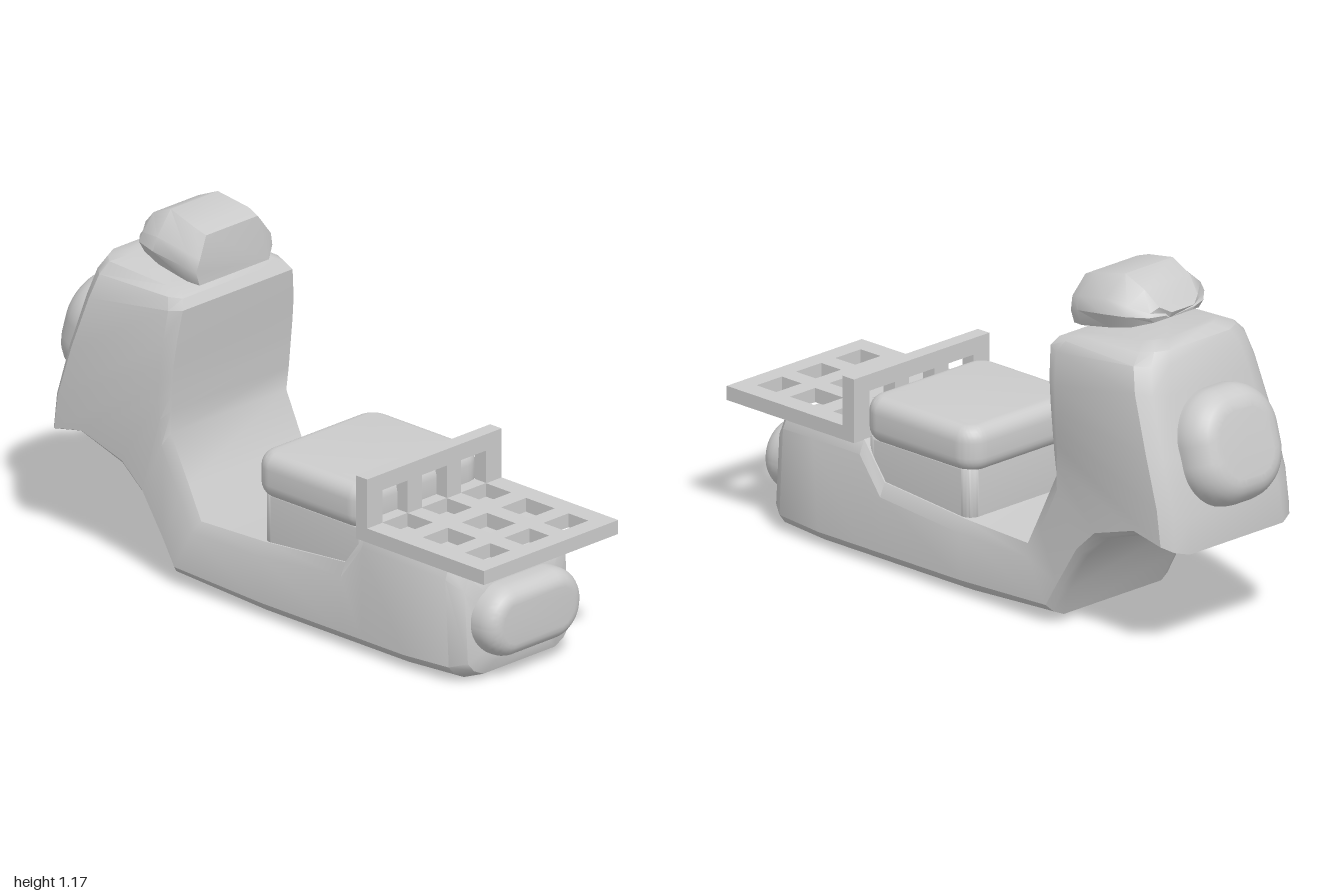
import * as THREE from 'three';
import { toCreasedNormals } from 'three/addons/utils/BufferGeometryUtils.js';

const material = new THREE.MeshStandardMaterial({ color: 0xcccccc });

function addMesh(parent, name, geometry) {
  const mesh = new THREE.Mesh(geometry, material);
  mesh.name = name;
  parent.add(mesh);
  return mesh;
}

// Skin closed rings running towards -z; each ring is counter-clockwise seen from +z
function loft(rings, crease) {
  const n = rings[0].length, last = (rings.length - 1) * n, index = [];
  for (let i = 0; i < rings.length - 1; i++) {
    for (let j = 0; j < n; j++) {
      const a = i * n + j, b = i * n + (j + 1) % n;
      index.push(a, a + n, b, b, a + n, b + n);
    }
  }
  for (let j = 1; j < n - 1; j++) {
    index.push(0, j, j + 1, last, last + j + 1, last + j);
  }
  const g = new THREE.BufferGeometry();
  g.setAttribute('position', new THREE.Float32BufferAttribute(rings.flat(2), 3));
  g.setIndex(index);
  return toCreasedNormals(g, crease);
}

// Complete a right-hand half ring with its mirror image
const mirrorRing = (half) => [...half, ...half.map(([x, y, z]) => [-x, y, z]).reverse()];

function roundedRect(w, h, r) {
  const s = new THREE.Shape(), x = w / 2, y = h / 2;
  s.moveTo(-x + r, -y);
  s.lineTo(x - r, -y).absarc(x - r, -y + r, r, -Math.PI / 2, 0);
  s.lineTo(x, y - r).absarc(x - r, y - r, r, 0, Math.PI / 2);
  s.lineTo(-x + r, y).absarc(-x + r, y - r, r, Math.PI / 2, Math.PI);
  s.lineTo(-x, -y + r).absarc(-x + r, -y + r, r, Math.PI, Math.PI * 1.5);
  return s;
}

// Soft pad, w by h, with rounded rims, d thick along z
function pad(w, h, d, r, bevel, thick) {
  const depth = d - 2 * thick;
  const g = new THREE.ExtrudeGeometry(roundedRect(w - 2 * bevel, h - 2 * bevel, r), {
    depth, bevelSize: bevel, bevelThickness: thick, bevelSegments: 6, curveSegments: 8,
  });
  g.translate(0, 0, -depth / 2);
  return toCreasedNormals(g, 0.7);
}

// Flat panel with three columns of openings, one row for each [from, to]
function grille(y0, y1, rows, depth) {
  const box = (S, x0, x1, a, b) => {
    const p = new S();
    p.moveTo(x0, a).lineTo(x1, a).lineTo(x1, b).lineTo(x0, b).closePath();
    return p;
  };
  const shape = box(THREE.Shape, -0.3, 0.3, y0, y1);
  for (const [a, b] of rows) {
    for (const x of [-0.175, 0, 0.175]) shape.holes.push(box(THREE.Path, x - 0.056, x + 0.056, a, b));
  }
  return new THREE.ExtrudeGeometry(shape, { depth, bevelEnabled: false });
}

export function createModel() {
  const model = new THREE.Group();
  model.name = 'scooterBody';

  // Body stations: inner z, y, outer z, y, half width, outer chamfer
  const stations = [
    [0.865, 0.29, 0.875, 0.06, 0.17, 0.04],
    [0.84, 0.35, 0.86, 0.02, 0.225, 0.05],
    [0.79, 0.39, 0.81, 0.005, 0.26, 0.05],
    [0.65, 0.4, 0.62, 0, 0.275, 0.05],
    [0.44, 0.4, 0.44, 0, 0.275, 0.05],
    [0.35, 0.28, 0.35, 0, 0.275, 0.05],
    [0, 0.25, 0, 0, 0.275, 0.05],
    [-0.28, 0.24, -0.4, 0.025, 0.275, 0.045],
    [-0.335, 0.35, -0.44, 0.12, 0.275, 0.03],
    [-0.41, 0.5, -0.53, 0.26, 0.278, 0.03],
    [-0.403, 0.58, -0.62, 0.34, 0.282, 0.03],
    [-0.4, 0.64, -0.8, 0.4, 0.285, 0.03],
    [-0.395, 0.69, -0.945, 0.36, 0.285, 0.06],
    [-0.39, 0.74, -0.94, 0.48, 0.285, 0.07],
    [-0.38, 0.82, -0.89, 0.66, 0.28, 0.07],
    [-0.37, 0.92, -0.83, 0.85, 0.265, 0.07],
    [-0.39, 0.95, -0.805, 0.94, 0.245, 0.07],
    [-0.43, 0.965, -0.785, 0.98, 0.21, 0.06],
    [-0.49, 0.97, -0.74, 1.0, 0.16, 0.05],
  ];
  const bodyRings = stations.map(([zi, yi, zo, yo, w, c]) => {
    const len = Math.hypot(zo - zi, yo - yi);
    const at = (x, t) => [x, yi + (yo - yi) * t / len, zi + (zo - zi) * t / len];
    return mirrorRing([
      at(w - 1.3 * c, len), at(w - 0.5 * c, len - 0.4 * c), at(w, len - c),
      at(w, 0.045), at(w - 0.02, 0),
    ]);
  });
  addMesh(model, 'body', loft(bodyRings, 0.6));

  // Handlebar cover: z, then heights and half widths of lower edge, waist and top
  const coverRings = [
    [-0.385, 0.975, 1.02, 1.13, 0.155, 0.17, 0.115],
    [-0.43, 0.98, 1.035, 1.145, 0.165, 0.185, 0.12],
    [-0.55, 1.005, 1.055, 1.17, 0.17, 0.195, 0.105],
    [-0.63, 1.02, 1.06, 1.135, 0.15, 0.175, 0.1],
    [-0.68, 1.035, 1.055, 1.085, 0.1, 0.12, 0.085],
    [-0.7, 1.045, 1.055, 1.065, 0.05, 0.065, 0.05],
  ].map(([z, yb, ym, yt, wb, wm, wt]) => mirrorRing([
    [wb, yb, z], [wm, ym, z], [wm * 0.93, ym + (yt - ym) * 0.4, z + 0.005], [wt, yt, z - 0.01],
  ]));
  addMesh(model, 'handlebarCover', loft(coverRings, 0.7));

  // Seat cushion and the box under it
  const seat = addMesh(model, 'seatCushion', pad(0.54, 0.49, 0.15, 0.03, 0.045, 0.05));
  seat.rotation.x = Math.PI / 2;
  seat.position.set(0, 0.475, 0.2);
  const box = addMesh(model, 'seatBox', pad(0.5, 0.46, 0.2, 0.03, 0.01, 0.01));
  box.rotation.x = Math.PI / 2;
  box.position.set(0, 0.315, 0.21);

  // Lamps at both ends
  const small = addMesh(model, 'oblongLamp', pad(0.42, 0.235, 0.15, 0.065, 0.05, 0.06));
  small.position.set(0, 0.195, 0.875);
  const large = addMesh(model, 'squareLamp', pad(0.38, 0.38, 0.22, 0.08, 0.08, 0.1));
  large.position.set(0, 0.66, -0.888);
  large.rotation.x = 0.28;

  // Luggage rack
  const rack = new THREE.Group();
  rack.name = 'luggageRack';
  const tray = grille(0.44, 1, [[0.49, 0.6], [0.665, 0.79], [0.85, 0.937]], 0.047);
  tray.rotateX(Math.PI / 2).translate(0, 0.445, 0);
  addMesh(rack, 'rackTray', tray);
  addMesh(rack, 'rackUpright', grille(0.398, 0.61, [[0.446, 0.555]], 0.05).translate(0, 0, 0.44));
  model.add(rack);

  return model;
}
